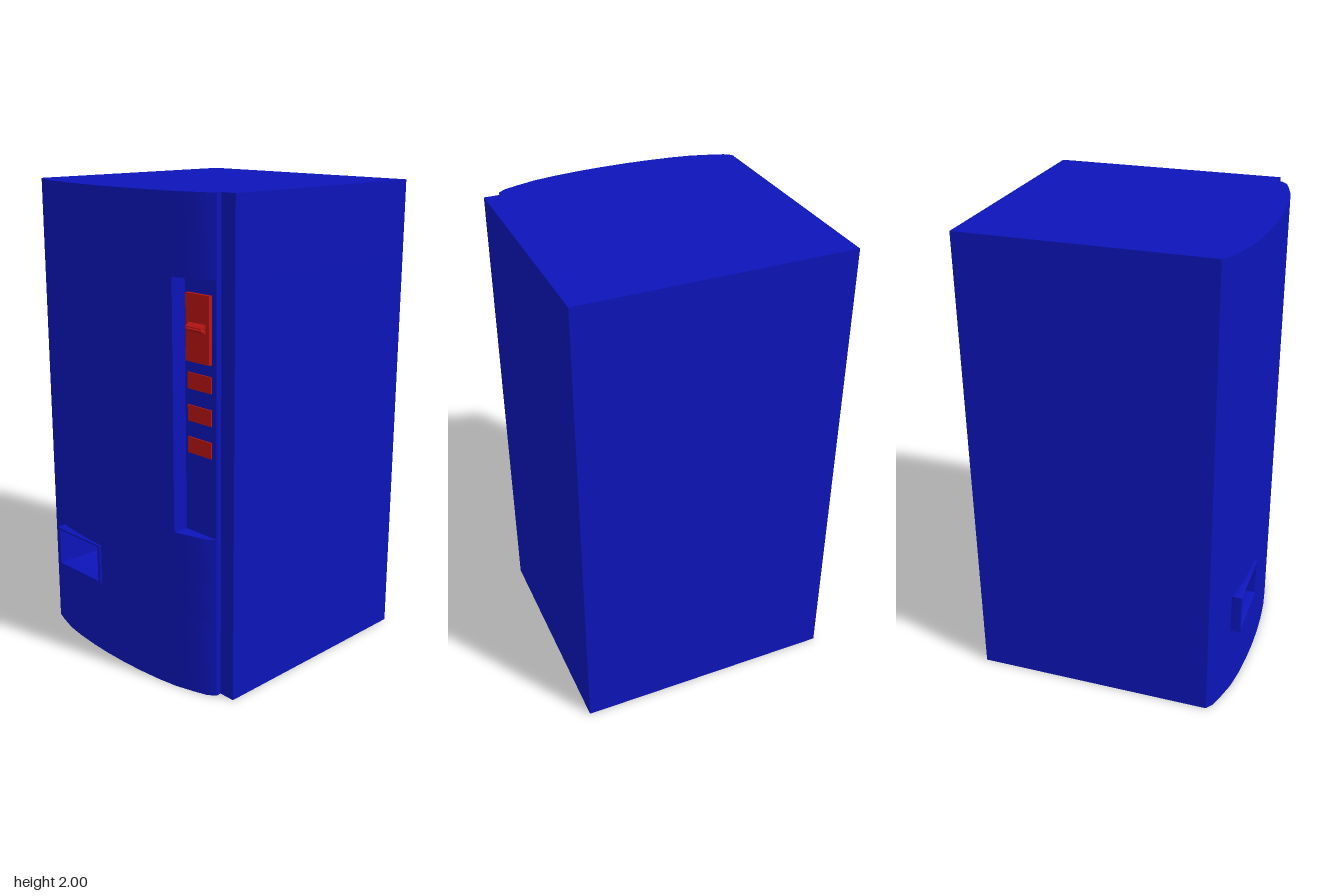
import * as THREE from 'three';
import { toCreasedNormals } from 'three/addons/utils/BufferGeometryUtils.js';

const blue = new THREE.MeshStandardMaterial({ color: 0x0c14b8 });
const red = new THREE.MeshStandardMaterial({ color: 0xb81414 });

// Plan of the bowed door, left half; mirrored about its own middle
const MID = -0.035, BACK = -0.563;
const half = [[-0.56, 0.46], [-0.53, 0.483], [-0.477, 0.501], [-0.39, 0.526],
  [-0.3, 0.54], [-0.19, 0.55], [-0.09, 0.5545]];
const door = [...half, ...half.map(([x, z]) => [2 * MID - x, z]).reverse()];

function doorZ(x) {
  const i = Math.max(1, door.findIndex(p => p[0] >= x));
  const [a, b] = [door[i - 1], door[i]];
  return a[1] + (b[1] - a[1]) * (x - a[0]) / (b[0] - a[0]);
}

// Cabinet slice between two heights, with an optional cut into the door
function slice(y0, y1, cut) {
  let front = door;
  if (cut) {
    const { x0, x1, z } = cut;
    front = [...door.filter(p => p[0] < x0), [x0, doorZ(x0)], [x0, z], [x1, z]];
    if (x1 < 0.49) front.push([x1, doorZ(x1)], ...door.filter(p => p[0] > x1));
  }
  const plan = [[-0.56, BACK], ...front, [0.49, 0.436], [0.56, 0.436], [0.56, BACK]];
  const shape = new THREE.Shape(plan.map(([x, z]) => new THREE.Vector2(x, -z)));
  const geo = new THREE.ExtrudeGeometry(shape, { depth: y1 - y0, bevelEnabled: false });
  geo.rotateX(-Math.PI / 2).translate(0, y0, 0);
  return toCreasedNormals(geo, 0.5);
}

function rectangle(Type, x0, y0, x1, y1) {
  return new Type([[x0, y0], [x1, y0], [x1, y1], [x0, y1]].map(p => new THREE.Vector2(...p)));
}

export function createModel() {
  const model = new THREE.Group();
  const add = (name, geo, mat, parent = model) => {
    const mesh = new THREE.Mesh(geo, mat);
    mesh.name = name;
    parent.add(mesh);
    return mesh;
  };
  const block = (name, x0, x1, y0, y1, z0, z1, mat, parent) =>
    add(name, new THREE.BoxGeometry(x1 - x0, y1 - y0, z1 - z0), mat, parent)
      .position.set((x0 + x1) / 2, (y0 + y1) / 2, (z0 + z1) / 2);

  // Cabinet, with the delivery opening and the control recess cut in
  const cabinet = new THREE.Group();
  cabinet.name = 'cabinet';
  model.add(cabinet);
  const opening = { x0: -0.397, x1: -0.133, z: 0.33 };
  const recess = { x0: 0.32, x1: 0.49, z: 0.46 };
  add('base', slice(0, 0.328), blue, cabinet);
  add('deliveryBay', slice(0.328, 0.487, opening), blue, cabinet);
  add('lowerDoor', slice(0.487, 0.68, null), blue, cabinet);
  add('controlBay', slice(0.68, 1.69, recess), blue, cabinet);
  add('upperDoor', slice(1.69, 2), blue, cabinet);

  // Thin frame around the delivery opening
  const b = 0.004;
  const ring = rectangle(THREE.Shape, -0.413 + b, 0.32 + b, -0.117 - b, 0.497 - b);
  ring.holes.push(rectangle(THREE.Path, -0.397 - b, 0.328 - b + 0.003, -0.133 + b, 0.487 + b));
  const frame = new THREE.ExtrudeGeometry(ring, {
    depth: 0.06, bevelEnabled: true, bevelSize: b, bevelThickness: b, bevelSegments: 2,
  });
  add('deliveryFrame', toCreasedNormals(frame, 0.6), blue).position.z = 0.563 - 0.06 - b;

  // Control panel and selection buttons
  const controls = new THREE.Group();
  controls.name = 'controls';
  model.add(controls);
  block('paymentPanel', 0.338, 0.465, 1.37, 1.63, 0.455, 0.475, red, controls);
  for (const y of [1.26, 1.132, 1.004]) {
    block('button', 0.338, 0.465, y, y + 0.064, 0.455, 0.466, red, controls);
  }

  // Wedge-shaped lips above and below the payment slot
  for (const s of [1, -1]) {
    const lip = new THREE.Shape([[0.47, 0.002], [0.496, 0.002], [0.496, 0.006], [0.475, 0.018], [0.47, 0.018]]
      .map(([z, y]) => new THREE.Vector2(-z, s * y)));
    const geo = new THREE.ExtrudeGeometry(lip, { depth: 0.088, bevelEnabled: false });
    geo.rotateY(Math.PI / 2);
    add('slotLip', geo, red, controls).position.set(0.358, 1.503, 0);
  }
  return model;
}
